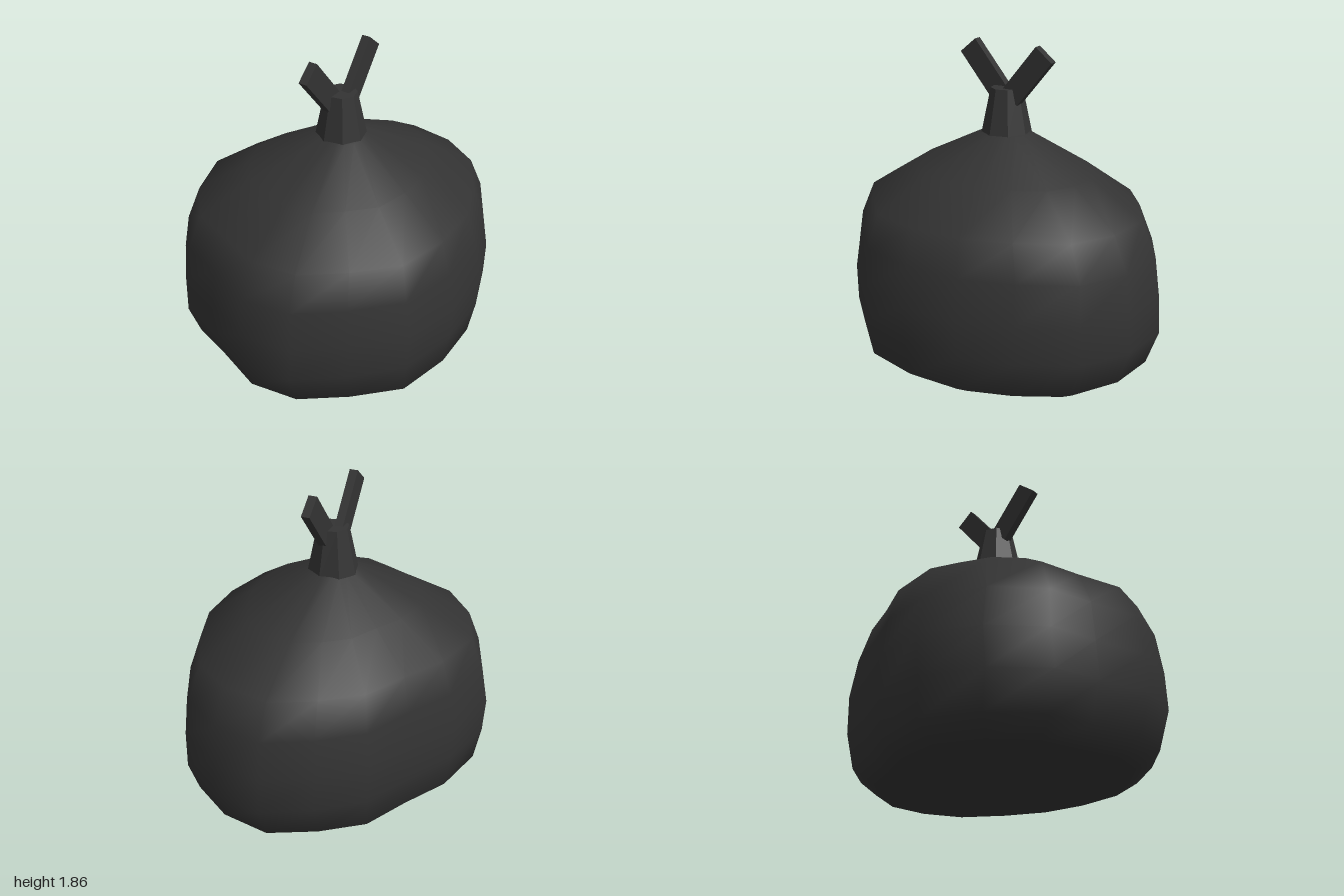
import * as THREE from 'three';

// Widest outline of the body, seen from above (x, z), going from back over left to front
const OUTLINE = [
  [-0.38, -0.88], [-0.02, -0.85], [0.28, -0.73], [0.58, -0.63], [0.8, -0.42], [0.985, -0.17],
  [0.995, 0.14], [0.88, 0.43], [0.61, 0.65], [0.32, 0.81], [-0.02, 0.87], [-0.38, 0.845],
  [-0.66, 0.65], [-0.9, 0.43], [-1, 0.14], [-0.94, -0.17], [-0.9, -0.45], [-0.69, -0.71],
];

// Rings of the body: height, x scale, z scale
const RINGS = [
  [0, 0.79, 0.79], [0.09, 0.925, 0.95], [0.3, 1, 0.985], [0.52, 0.985, 1],
  [0.75, 0.955, 0.945], [0.95, 0.86, 0.875], [1.14, 0.555, 0.55], [1.34, 0.145, 0.165],
];

function bodyGeometry() {
  const pos = [], index = [], n = OUTLINE.length;
  for (const [y, sx, sz] of RINGS)
    for (const [x, z] of OUTLINE) pos.push(x * sx - 0.015 * (1 - sx), y, z * sz);
  const bottom = pos.length / 3, top = bottom + 1, last = (RINGS.length - 1) * n;
  pos.push(0, 0, 0, -0.015, 1.35, 0);
  for (let i = 0; i < n; i++) {
    const j = (i + 1) % n;
    for (let r = 0; r < last; r += n) {
      index.push(r + i, r + n + i, r + j, r + j, r + n + i, r + n + j);
    }
    index.push(bottom, i, j, top, last + j, last + i);
  }
  const g = new THREE.BufferGeometry();
  g.setAttribute('position', new THREE.Float32BufferAttribute(pos, 3));
  g.setIndex(index);
  g.computeVertexNormals();
  return g;
}

export function createModel() {
  const group = new THREE.Group();
  const charcoal = new THREE.MeshStandardMaterial({ color: 0x333333 });
  charcoal.name = 'charcoal';

  const add = (name, geometry) => {
    const mesh = new THREE.Mesh(geometry, charcoal);
    mesh.name = name;
    group.add(mesh);
    return mesh;
  };
  // Splits the corners so that every face is flat
  const faceted = (geometry) => {
    const g = geometry.toNonIndexed();
    g.computeVertexNormals();
    return g;
  };

  // Lumpy round body
  add('body', bodyGeometry());

  // Eight-sided tapering stem
  const stem = add('stem', faceted(new THREE.CylinderGeometry(0.09, 0.145, 0.27, 8)));
  stem.position.set(-0.018, 1.465, -0.005);
  stem.scale.z = 1.05;

  // Two flat prongs forming a fork, turned slightly about the vertical
  for (const [name, x, z, lean] of [
    ['rightProng', -0.18, -0.01, 0.69],
    ['leftProng', 0.14, -0.008, -0.69],
  ]) {
    const prong = add(name, new THREE.BoxGeometry(0.13, 0.345, 0.05));
    prong.position.set(x, 1.683, z);
    prong.rotation.set(0, 0.17, lean, 'YXZ');
  }
  return group;
}
